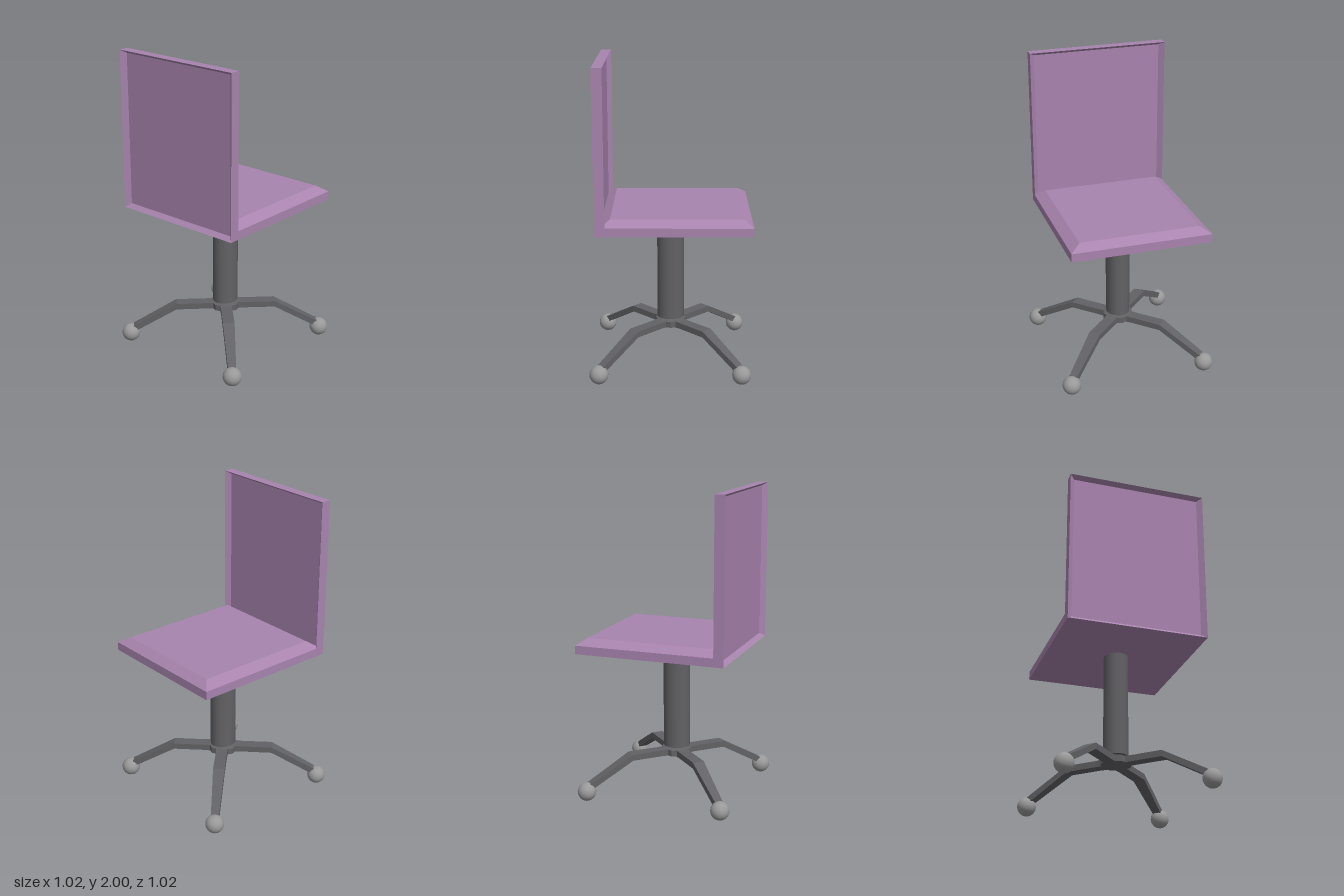
import * as THREE from 'three';

const material = (name, color) => {
  const m = new THREE.MeshStandardMaterial({ color });
  m.name = name;
  return m;
};

// Closed flat-shaded solid through four-cornered rings
// (corners run counter-clockwise seen from the last ring's end)
function loft(rings) {
  const pos = [];
  const quad = (a, b, c, d) => [a, b, c, a, c, d].forEach((p) => pos.push(...p));
  const first = rings[0], last = rings[rings.length - 1];
  quad(first[3], first[2], first[1], first[0]);
  quad(...last);
  for (let k = 0; k < rings.length - 1; k++) {
    const a = rings[k], b = rings[k + 1];
    for (let i = 0; i < 4; i++) {
      const j = (i + 1) % 4;
      quad(a[i], a[j], b[j], b[i]);
    }
  }
  const g = new THREE.BufferGeometry();
  g.setAttribute('position', new THREE.Float32BufferAttribute(pos, 3));
  g.computeVertexNormals();
  return g;
}

// Rectangle of half width w between y0 and y1, at depth z
const rect = (w, y0, y1, z) => [[-w, y0, z], [w, y0, z], [w, y1, z], [-w, y1, z]];

export function createModel() {
  const group = new THREE.Group();
  const purple = material('purple upholstery', 0xa884ae);
  const darkGrey = material('dark grey metal', 0x626266);
  const lightGrey = material('light grey casters', 0x999999);

  const add = (name, geometry, mat, parent = group) => {
    const mesh = new THREE.Mesh(geometry, mat);
    mesh.name = name;
    parent.add(mesh);
    return mesh;
  };

  // Backrest: thin slab with a bevelled recess on both faces
  add('backrest', loft([
    rect(0.42, 0.995, 1.98, 0.43),
    rect(0.452, 0.97, 2, 0.4),
    rect(0.452, 0.97, 2, 0.465),
    rect(0.42, 0.995, 1.98, 0.435),
  ]), purple);

  // Seat: slab with a chamfered top, laid flat
  add('seat', loft([
    rect(0.452, -0.43, 0.512, 0.97),
    rect(0.452, -0.43, 0.512, 1.025),
    rect(0.387, -0.37, 0.455, 1.065),
  ]).rotateX(-Math.PI / 2), purple);

  // Column, slightly deeper than wide
  const column = add('column', new THREE.CylinderGeometry(0.078, 0.078, 0.68, 16), darkGrey);
  column.scale.z = 1.13;
  column.position.y = 0.63;
  add('columnNeck', new THREE.CylinderGeometry(0.06, 0.06, 0.04, 16), darkGrey).position.y = 0.275;

  // Hub with shallow conical top and underside
  const hubProfile = [[0, 0.212], [0.1, 0.236], [0.1, 0.276], [0.05, 0.287], [0, 0.287]];
  const hub = new THREE.LatheGeometry(hubProfile.map((p) => new THREE.Vector2(...p)), 8);
  const hubFlat = hub.toNonIndexed();
  hubFlat.computeVertexNormals();
  add('hub', hubFlat, darkGrey);

  // Four bent legs on the diagonals, each ending in a ball caster
  const section = (r, y0, y1, h) => [[r, y0, -h], [r, y1, -h], [r, y1, h], [r, y0, h]];
  const legGeometry = loft([
    section(0.03, 0.232, 0.28, 0.042),
    section(0.12, 0.235, 0.275, 0.037),
    section(0.33, 0.235, 0.275, 0.038),
    section(0.62, 0.07, 0.115, 0.026),
  ]);
  const ballGeometry = new THREE.SphereGeometry(0.06, 20, 14);
  for (let i = 0; i < 4; i++) {
    const arm = new THREE.Group();
    arm.name = 'legWithCaster';
    arm.rotation.y = Math.PI / 4 + (i * Math.PI) / 2;
    add('leg', legGeometry, darkGrey, arm);
    add('caster', ballGeometry, lightGrey, arm).position.set(0.638, 0.06, 0);
    group.add(arm);
  }
  return group;
}
